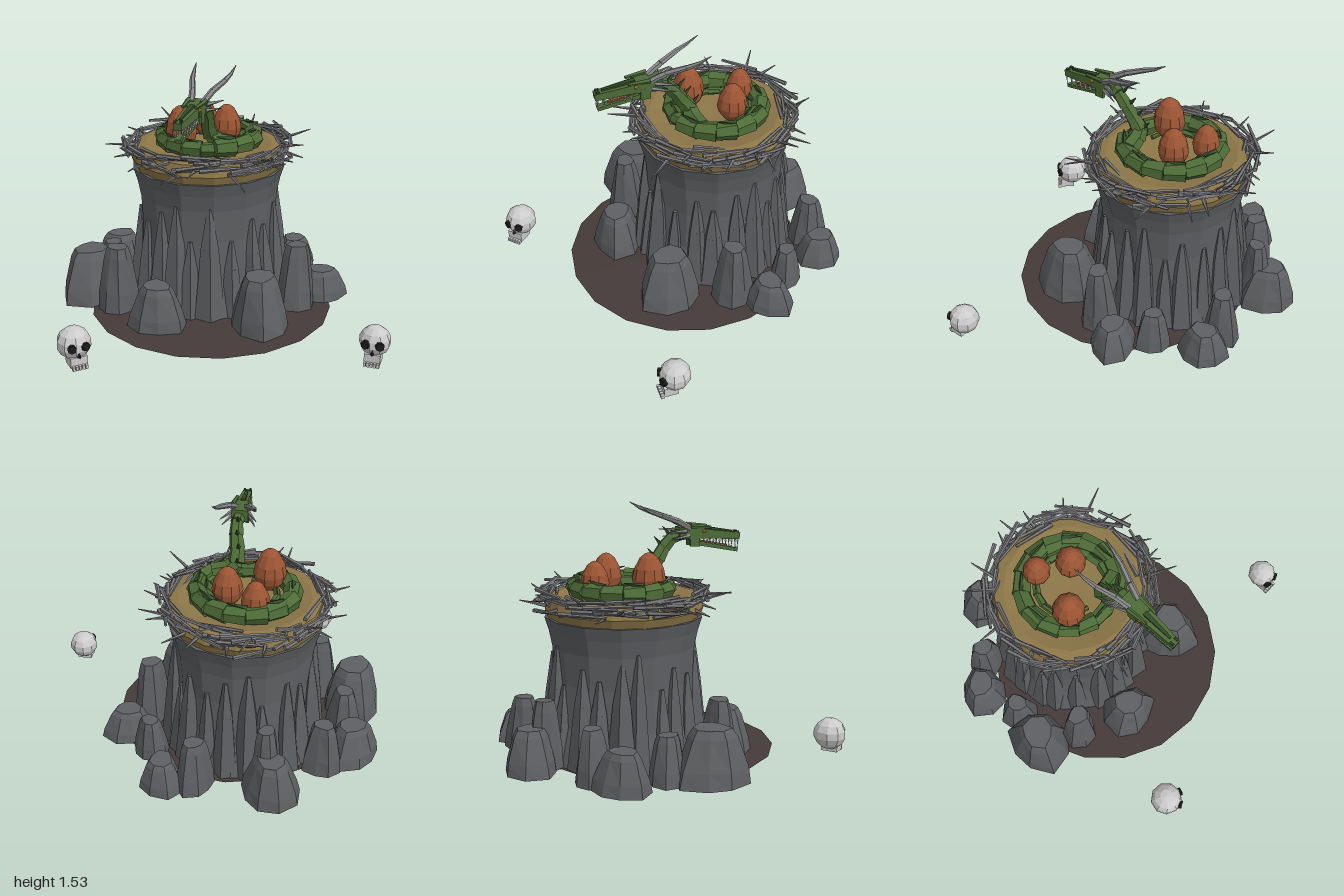
import * as THREE from 'three';

const CZ = -0.18; // centre of the pillar in z
const mat = (color) => new THREE.MeshStandardMaterial({ color, flatShading: true, side: THREE.DoubleSide });
const M = {
  rock: mat(0x5e6063), ground: mat(0x443b39), tan: mat(0x8c7748), twig: mat(0x77777a), green: mat(0x4d6b37),
  dark: mat(0x34492a), egg: mat(0x9c5534), horn: mat(0x858587), eye: mat(0xd8a020), bone: mat(0xcccccc), black: mat(0x1c1c1c),
};
const V = (x, y, z) => new THREE.Vector3(x, y, z);
const polar = (a, r, y) => V(Math.sin(a) * r, y, CZ + Math.cos(a) * r);

let seed = 7;
const rand = (lo = 0, hi = 1) => {
  seed = (seed * 16807) % 2147483647;
  return lo + (hi - lo) * (seed / 2147483647);
};

function add(parent, name, geometry, material, pos = [0, 0, 0]) {
  const m = new THREE.Mesh(geometry, material);
  m.name = name;
  m.position.set(...pos);
  parent.add(m);
  return m;
}
function group(parent, name) {
  const g = new THREE.Group();
  g.name = name;
  parent.add(g);
  return g;
}
// Tapered prism from a to b
function beam(parent, name, a, b, r0, r1, sides, material) {
  const d = b.clone().sub(a);
  const m = add(parent, name, new THREE.CylinderGeometry(r1, r0, d.length(), sides), material);
  m.position.copy(a).add(b).multiplyScalar(0.5);
  m.quaternion.setFromUnitVectors(V(0, 1, 0), d.normalize());
  return m;
}
// Chain of tapered prisms along points
function chain(parent, name, pts, radii, sides, material) {
  for (let i = 0; i < pts.length - 1; i++) beam(parent, name, pts[i], pts[i + 1], radii[i], radii[i + 1], sides, material);
}
const lathe = (pts, n) => new THREE.LatheGeometry(pts.map((p) => new THREE.Vector2(...p)), n);
// Box whose front (+z) end is scaled, for jaws
function wedge(w, h, l, sx, sy) {
  const g = new THREE.BoxGeometry(w, h, l), p = g.attributes.position;
  for (let i = 0; i < p.count; i++) if (p.getZ(i) > 0) p.setXY(i, p.getX(i) * sx, p.getY(i) * sy);
  return g;
}
// Faceted boulder with an irregular outline
function boulder(r, h, s) {
  const g = lathe([[0, 0], [r, 0], [r * 0.92, h * 0.3], [r * 0.64, h * 0.85], [r * 0.5, h], [0, h]], 8);
  const p = g.attributes.position;
  for (let i = 0; i < p.count; i++) {
    const a = Math.atan2(p.getX(i), p.getZ(i)), y = p.getY(i);
    const k = 1 + 0.11 * Math.sin(2 * a + s + y * 4) + 0.08 * Math.sin(3 * a + 2 * s);
    p.setX(i, p.getX(i) * k);
    p.setZ(i, p.getZ(i) * k);
  }
  g.computeVertexNormals();
  return g;
}

function buildRocks(root) {
  add(root, 'groundDisc', lathe([[0, 0], [0.6, 0.004], [0.75, 0.02], [0, 0.025]], 18), M.ground, [0, 0, 0.05]);
  add(root, 'pillar', lathe([[0, 0.01], [0.5, 0.01], [0.44, 0.25], [0.425, 0.5], [0.435, 0.7], [0.455, 0.8], [0.48, 0.88], [0, 0.88]], 14),
    M.rock, [0, 0, CZ]);
  // Narrow stone ribs against the pillar
  const ribs = group(root, 'pillarRibs');
  for (let i = 0; i < 22; i++) {
    const a = (i / 22) * Math.PI * 2 + rand(-0.06, 0.06), h = [0.72, 0.5, 0.62, 0.56, 0.66][i % 5];
    const w = rand(0.055, 0.08);
    const base = polar(a, 0.44, 0.02), mid = polar(a, 0.425, h * 0.65), top = polar(a, 0.425, h);
    chain(ribs, 'rib', [base, mid, top], [w * 1.25, w * 0.75, 0.014], 5, M.rock);
  }
  // Boulders: x, z, radius, height
  const list = [
    [0.03, -0.83, 0.17, 0.28], [0.03, -0.74, 0.1, 0.43], [-0.56, -0.61, 0.16, 0.25], [-0.35, -0.67, 0.115, 0.34],
    [-0.61, -0.33, 0.115, 0.3], [-0.75, -0.13, 0.2, 0.34], [-0.58, 0.08, 0.12, 0.43], [-0.35, 0.34, 0.17, 0.28],
    [0.26, 0.41, 0.19, 0.35], [0.53, 0.13, 0.12, 0.43], [0.71, -0.01, 0.15, 0.2], [0.62, -0.24, 0.105, 0.26],
    [0.62, -0.55, 0.145, 0.2], [0.44, -0.62, 0.115, 0.34],
  ];
  const rocks = group(root, 'boulders');
  list.forEach(([x, z, r, h], i) => add(rocks, 'boulder', boulder(r, h - 0.015, i * 1.7), M.rock, [x, 0.015, z]));
}

function buildNest(root) {
  const nest = group(root, 'nest');
  add(nest, 'nestBed', lathe([[0, 0.875], [0.46, 0.875], [0.48, 0.93], [0.46, 1.0], [0.4, 1.01], [0.3, 0.985], [0, 0.97]], 16), M.tan, [0, 0, CZ]);
  // Woven twigs around the rim
  for (let i = 0; i < 100; i++) {
    const a = (i / 100) * Math.PI * 2, span = rand(0.2, 0.32), y = rand(0.94, 1.035), r = rand(0.43, 0.52);
    beam(nest, 'twig', polar(a - span, r + rand(-0.03, 0.03), y + rand(-0.03, 0.03)),
      polar(a + span, r + rand(-0.03, 0.03), y + rand(-0.03, 0.03)), 0.014, 0.009, 5, M.twig);
  }
  // Twigs sticking outward
  for (let i = 0; i < 28; i++) {
    const a = (i / 28) * Math.PI * 2 + rand(-0.08, 0.08), y = rand(0.93, 1.01);
    beam(nest, 'spikeTwig', polar(a, 0.45, y), polar(a + rand(-0.15, 0.15), rand(0.55, 0.66), y + rand(-0.04, 0.09)), 0.014, 0.003, 5, M.twig);
  }
  // Eggs: x, z, radius, top
  const egg = (r, h) => lathe([[0, 0], [0.55, 0.07], [0.9, 0.25], [1, 0.42], [0.88, 0.65], [0.55, 0.88], [0.25, 0.97], [0, 1]].map(([x, y]) => [x * r, y * h]), 10);
  for (const [x, z, r, top] of [[-0.17, -0.12, 0.1, 1.265], [0.12, -0.22, 0.093, 1.24], [0, -0.39, 0.085, 1.22]])
    add(nest, 'egg', egg(r, top - 0.99), M.egg, [x, 0.99, z]);
}

function buildSerpent(root) {
  const body = group(root, 'serpent');
  // Coiled body: two turns widening toward the neck
  const pts = [], radii = [], n = 30;
  for (let i = 0; i <= n; i++) {
    const t = i / n, a = 0.1 + (1 - t) * Math.PI * 3.8;
    const r = 0.17 + 0.12 * Math.min(1, t * 1.5);
    pts.push(polar(a, r, 1.02 + 0.035 * t));
    radii.push(0.014 + 0.042 * Math.min(1, t * 1.6));
  }
  pts.forEach((p, i) => {
    if (i === n) return;
    const q = pts[i + 1], r = radii[i];
    beam(body, 'coilSegment', p, q.clone().lerp(p, -0.12), r * 1.1, r * 0.92, 6, M.green);
    if (i % 2) beam(body, 'backPlate', p.clone().setY(p.y + r * 0.8), q.clone().setY(q.y + r * 1.25), r * 0.35, 0.003, 4, M.dark);
  });
  // Neck rising from the coil
  const neck = [V(0.14, 1.06, 0.05), V(0.04, 1.08, 0.03), V(0, 1.12, 0.02), V(-0.02, 1.19, 0.065), V(-0.025, 1.26, 0.11), V(-0.045, 1.32, 0.16), V(-0.09, 1.345, 0.23)];
  const nr = [0.055, 0.054, 0.05, 0.045, 0.041, 0.039, 0.036];
  for (let i = 0; i < neck.length - 1; i++) {
    beam(body, 'neckSegment', neck[i], neck[i + 1].clone().lerp(neck[i], -0.15), nr[i] * 1.08, nr[i + 1] * 0.95, 6, M.green);
    const back = neck[i].clone().add(V(0, 0.025, -0.03));
    if (i > 1) beam(body, 'neckSpine', back, back.clone().add(V(0.015, 0.045, -0.035)), 0.014, 0.002, 4, M.dark);
  }
  // Head, facing local +z
  const head = group(body, 'head');
  head.position.set(-0.08, 1.34, 0.21);
  head.rotation.y = -0.41;
  add(head, 'cranium', wedge(0.1, 0.075, 0.16, 0.9, 0.85), M.green, [0, 0.005, 0.05]);
  add(head, 'snout', wedge(0.085, 0.058, 0.25, 0.6, 0.72), M.green, [0, -0.01, 0.24]).rotation.x = 0.1;
  add(head, 'snoutRidge', wedge(0.03, 0.025, 0.2, 0.5, 0.6), M.dark, [0, 0.02, 0.22]).rotation.x = 0.14;
  add(head, 'lowerJaw', wedge(0.075, 0.03, 0.31, 0.55, 0.7), M.green, [0, -0.078, 0.2]).rotation.x = 0.2;
  add(head, 'tongue', wedge(0.03, 0.01, 0.2, 0.5, 1), M.egg, [0, -0.06, 0.19]).rotation.x = 0.18;
  for (const s of [-1, 1]) {
    add(head, 'jawHinge', new THREE.BoxGeometry(0.02, 0.07, 0.06), M.green, [s * 0.037, -0.04, 0.07]);
    add(head, 'eye', new THREE.IcosahedronGeometry(0.013, 0), M.eye, [s * 0.046, 0.016, 0.125]);
    beam(head, 'brow', V(s * 0.04, 0.04, 0.17), V(s * 0.052, 0.05, 0.04), 0.01, 0.016, 5, M.green);
    add(head, 'nostril', new THREE.BoxGeometry(0.012, 0.014, 0.025), M.dark, [s * 0.017, 0.004, 0.345]);
    for (let i = 0; i < 6; i++) {
      const z = 0.15 + i * 0.04, x = s * (0.038 - i * 0.0028);
      beam(head, 'upperTooth', V(x, -0.035 - i * 0.002, z), V(x, -0.068 - i * 0.002, z), 0.007, 0.001, 4, M.bone);
      beam(head, 'lowerTooth', V(x * 0.8, -0.06 - i * 0.008, z), V(x * 0.85, -0.034 - i * 0.008, z), 0.006, 0.001, 4, M.bone);
    }
    // Cheek spikes
    beam(head, 'cheekSpike', V(s * 0.045, -0.01, 0.03), V(s * 0.1, -0.025, -0.1), 0.014, 0.002, 5, M.horn);
    beam(head, 'cheekSpike', V(s * 0.045, 0.02, 0.01), V(s * 0.11, 0.02, -0.12), 0.015, 0.002, 5, M.horn);
    // Swept horns
    chain(head, 'horn', [V(s * 0.035, 0.035, 0.04), V(s * 0.06, 0.085, -0.05), V(s * 0.1, 0.125, -0.16), V(s * 0.115, 0.15, -0.23), V(s * 0.125, 0.19, -0.3)],
      [0.02, 0.019, 0.016, 0.011, 0.002], 6, M.horn);
  }
}

function buildSkull(root, x, z, r, yaw) {
  const g = group(root, 'skull');
  g.position.set(x, 0.02, z);
  g.rotation.y = yaw;
  add(g, 'craniumBone', new THREE.SphereGeometry(r, 9, 7), M.bone, [0, 0.125, 0]).scale.y = 0.97;
  add(g, 'upperJaw', new THREE.BoxGeometry(r * 1.0, 0.06, r * 0.9), M.bone, [0, 0.04, r * 0.4]);
  for (const s of [-1, 1]) {
    const socket = add(g, 'eyeSocket', new THREE.CylinderGeometry(0.026, 0.026, 0.03, 7), M.black, [s * 0.038, 0.13, r * 0.84]);
    socket.rotation.set(Math.PI / 2, 0, -s * 0.4);
  }
  add(g, 'noseHole', new THREE.ConeGeometry(0.014, 0.03, 3), M.black, [0, 0.085, r * 0.9]);
  for (let i = -2; i <= 2; i++) add(g, 'tooth', new THREE.BoxGeometry(0.014, 0.024, 0.022), M.bone, [i * 0.019, 0.012, r * 0.95]);
}

export function createModel() {
  const root = new THREE.Group();
  root.name = 'serpentNest';
  buildRocks(root);
  buildNest(root);
  buildSerpent(root);
  buildSkull(root, -0.83, 0.77, 0.1, 0.38);
  buildSkull(root, 0.86, 0.88, 0.092, -0.4);
  return root;
}
